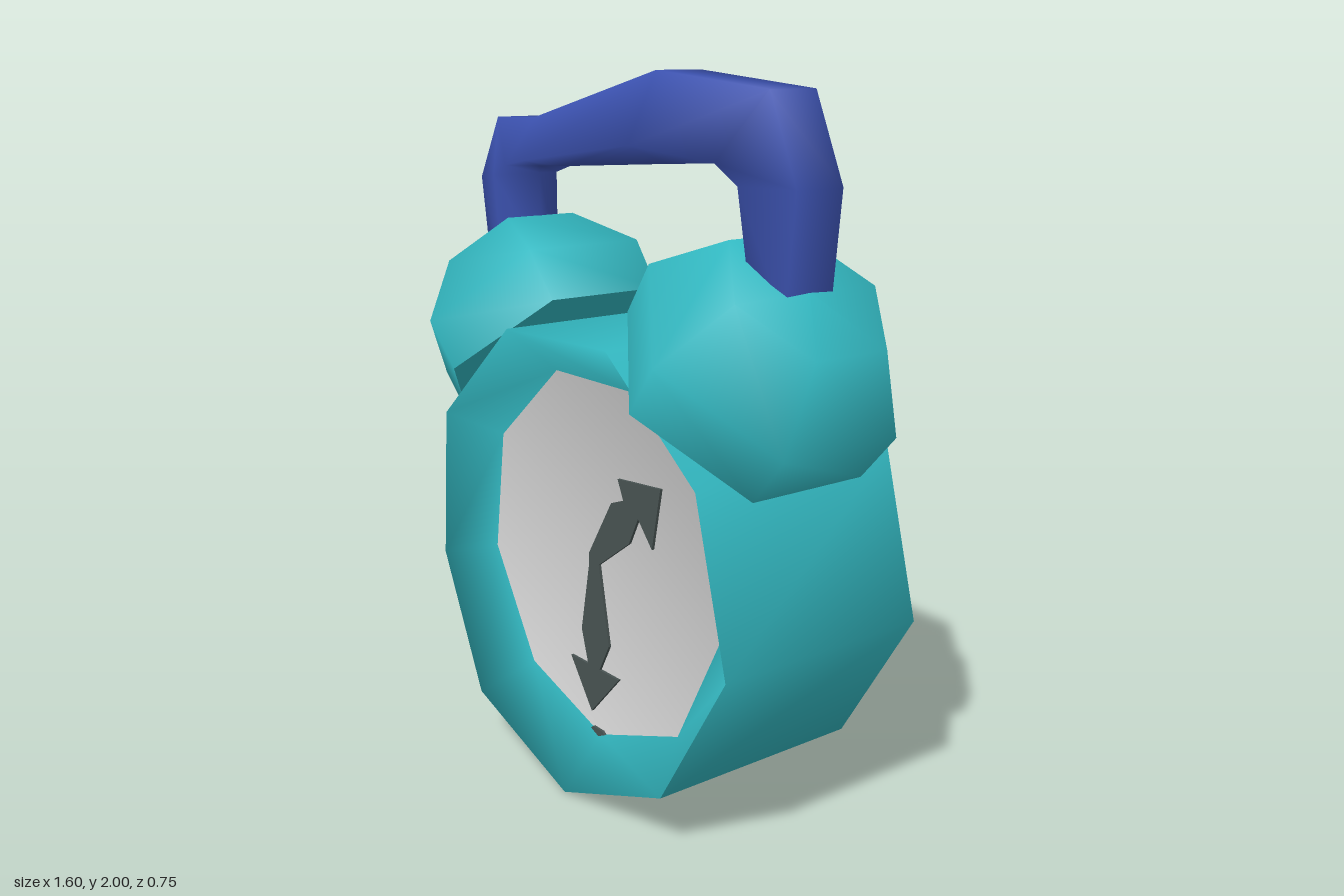
import * as THREE from 'three';

const mat = (name, color) => {
  const m = new THREE.MeshStandardMaterial({ color });
  m.name = name;
  return m;
};

// Skin a list of equal-length loops with smooth normals; keep only rings from..to
function loft(loops, from = 0, to = loops.length - 1) {
  const n = loops[0].length, index = [];
  for (let i = 0; i < loops.length - 1; i++) {
    for (let j = 0; j < n; j++) {
      const k = (j + 1) % n;
      const a = i * n + j, b = i * n + k, c = a + n, d = b + n;
      index.push(a, b, c, b, d, c);
    }
  }
  const g = new THREE.BufferGeometry();
  g.setAttribute('position', new THREE.Float32BufferAttribute(loops.flat(2), 3));
  g.setIndex(index);
  g.computeVertexNormals();
  g.setIndex(index.slice(from * n * 6, to * n * 6));
  return g;
}

function plate(points, z, depth) {
  const shape = new THREE.Shape(points.map(([x, y]) => new THREE.Vector2(x, y)));
  const g = new THREE.ExtrudeGeometry(shape, { depth, bevelEnabled: false });
  return g.translate(0, 0, z);
}

export function createModel() {
  const group = new THREE.Group();
  const teal = mat('teal', 0x33b8c1);
  const blue = mat('blue', 0x3b51ae);
  const grey = mat('dialGrey', 0xd2d2d2);
  const dark = mat('handGrey', 0x485352);
  const add = (name, geometry, material, parent = group) => {
    const m = new THREE.Mesh(geometry, material);
    m.name = name;
    parent.add(m);
    return m;
  };

  // Nine-sided case, slightly irregular, one corner pulled in at the front
  const outline = [
    [0.01, 0], [0.45, 0.17], [0.7, 0.58], [0.58, 1.03], [0.22, 1.315],
    [-0.24, 1.305], [-0.59, 1.0], [-0.655, 0.545], [-0.435, 0.15],
  ];
  const frontOutline = outline.map((p, i) => (i === 7 ? [-0.625, 0.55] : p));
  const dialOutline = [
    [0.01, 0.14], [0.36, 0.27], [0.53, 0.6], [0.46, 0.945], [0.17, 1.18],
    [-0.19, 1.18], [-0.48, 0.935], [-0.53, 0.57], [-0.335, 0.25],
  ];
  const loop = (points, z) => points.map(([x, y]) => [x, y, z]);
  const centre = (z) => outline.map(() => [0.01, 0.67, z]);
  const front = [loop(frontOutline, 0.1), loop(frontOutline, 0.295), loop(dialOutline, 0.165), centre(0.165)];
  const back = [centre(-0.235), loop(dialOutline, -0.235), loop(outline, -0.365), loop(outline, -0.17)];
  add('caseSide', loft([loop(outline, -0.365), loop(frontOutline, 0.295)]), teal);
  add('frontRim', loft(front, 1, 2), teal);
  add('dial', loft(front, 2, 3), grey);
  add('backPanel', loft(back, 0, 2), teal);

  // Clock hands in one bent piece with two arrowheads, and a small mark
  add('hands', plate([
    [-0.02, 0.66], [-0.06, 0.45], [-0.03, 0.35], [-0.115, 0.35], [-0.015, 0.21],
    [0.115, 0.35], [0.025, 0.35], [0.07, 0.435], [0.025, 0.665], [0.165, 0.765],
    [0.205, 0.845], [0.265, 0.775], [0.3, 0.95], [0.115, 0.935], [0.14, 0.88],
    [0.085, 0.86], [-0.02, 0.69],
  ], 0.172, 0.008), dark);
  add('lowerMark', plate([[0.01, 0.138], [0.04, 0.152], [0.03, 0.16], [-0.015, 0.16], [-0.025, 0.152]], 0.168, 0.008), dark);

  // Two tilted six-sided bells
  const profile = [[0.365, 0], [0.375, 0.165], [0.23, 0.362], [0, 0.372]]
    .map(([r, y]) => new THREE.Vector2(r, y));
  for (const [name, x, y, tilt] of [['rightBell', -0.415, 1.172, 0.724], ['leftBell', 0.4125, 1.2, -0.672]]) {
    const bell = new THREE.Group();
    bell.name = name;
    add('bellDome', new THREE.LatheGeometry(profile, 6), teal, bell);
    add('bellBase', new THREE.CircleGeometry(0.365, 6, Math.PI / 2).rotateX(Math.PI / 2), teal, bell);
    bell.rotation.z = tilt;
    bell.position.set(x, y, 0);
    group.add(bell);
  }

  // Handle: five-sided sections as outer x, y, inner x, y,
  // place of the widest point from outer to inner, its back and front z
  const sections = [
    [-0.66, 1.36, -0.5, 1.46, 0.6, -0.1, 0.1], [-0.71, 1.68, -0.505, 1.7, 0.6, -0.115, 0.11],
    [-0.61, 1.86, -0.5, 1.72, 0.95, -0.15, 0.12], [-0.415, 1.865, -0.4, 1.725, 0.85, -0.14, 0.125],
    [0.145, 2.0, 0.1, 1.76, 0.78, -0.11, 0.14], [0.57, 1.96, 0.48, 1.785, 0.97, -0.14, 0.165],
    [0.67, 1.735, 0.48, 1.74, 0.7, -0.14, 0.14], [0.64, 1.42, 0.48, 1.5, 0.6, -0.1, 0.1],
  ];
  add('handle', loft(sections.map(([ox, oy, ix, iy, t, zb, zf]) => {
    const mx = ox + (ix - ox) * t, my = oy + (iy - oy) * t;
    return [[ox, oy, -0.075], [ox, oy, 0.075], [mx, my, zf], [ix, iy, 0], [mx, my, zb]];
  })), blue);

  return group;
}
